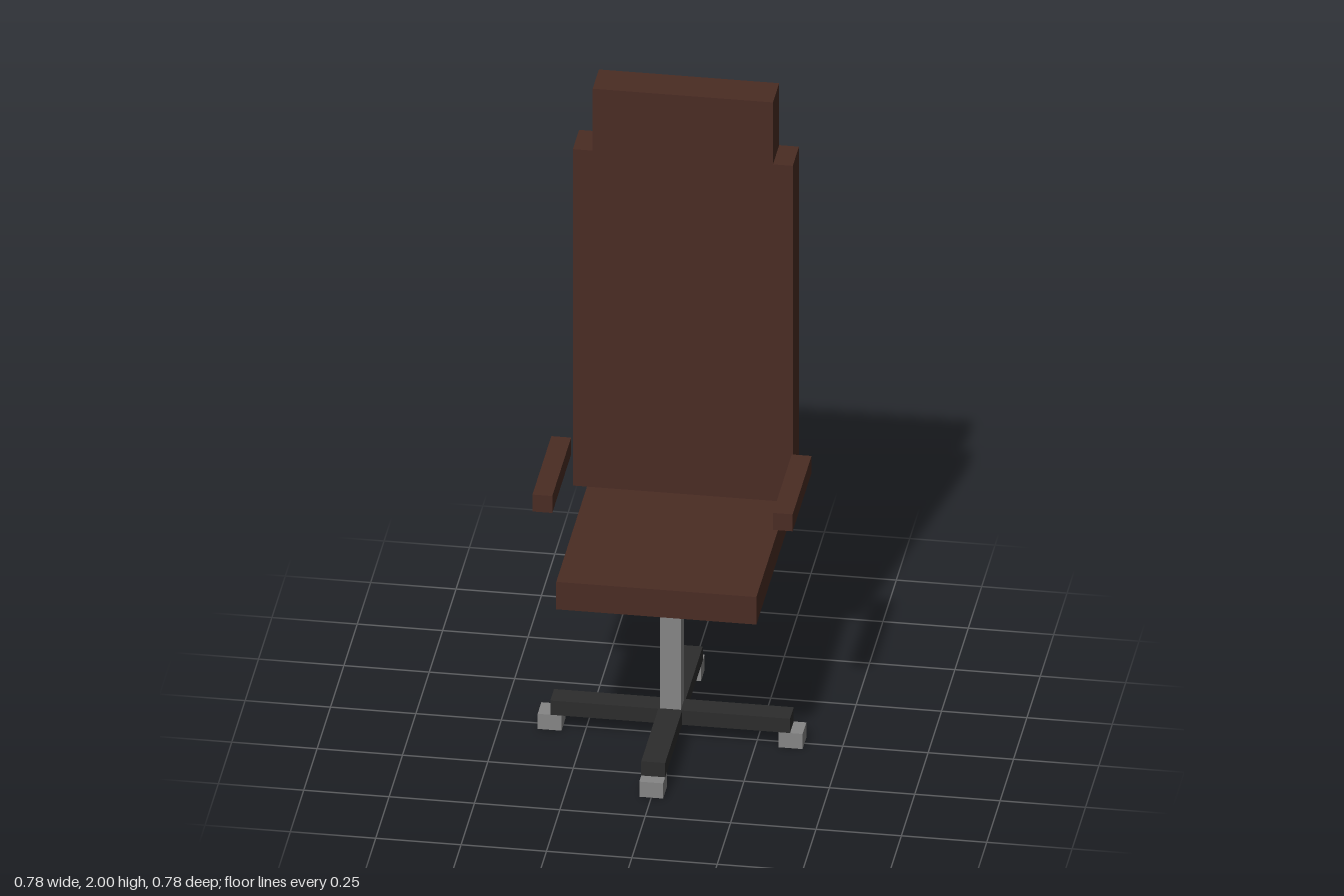
import * as THREE from 'three';

export function createModel() {
  const chair = new THREE.Group();
  chair.name = 'officeChair';

  const material = (name, color) => {
    const m = new THREE.MeshStandardMaterial({ color });
    m.name = name;
    return m;
  };
  const leather = material('brownLeather', 0x4a2c23);
  const black = material('blackPlastic', 0x2c2c2c);
  const metal = material('greyMetal', 0x858585);

  // Box given by its extents along x, y and z
  const box = (name, mat, [x0, x1], [y0, y1], [z0, z1], parent = chair) => {
    const mesh = new THREE.Mesh(new THREE.BoxGeometry(x1 - x0, y1 - y0, z1 - z0), mat);
    mesh.position.set((x0 + x1) / 2, (y0 + y1) / 2, (z0 + z1) / 2);
    mesh.name = name;
    parent.add(mesh);
    return mesh;
  };

  // Seat, backrest and headrest
  box('seat', leather, [-0.293, 0.293], [0.546, 0.637], [-0.293, 0.293]);
  box('backrest', leather, [-0.322, 0.322], [0.681, 1.795], [-0.318, -0.202]);
  box('headrest', leather, [-0.264, 0.264], [1.795, 2], [-0.318, -0.202]);

  // Armrests, mirrored
  for (const [name, side] of [['leftArmrest', 1], ['rightArmrest', -1]]) {
    const arm = box(name, leather, [-0.029, 0.029], [0.798, 0.854], [-0.176, 0.176]);
    arm.position.x = side * 0.352;
  }

  // Central post
  box('post', metal, [-0.031, 0.031], [0.097, 0.546], [-0.031, 0.031]);

  // Cross base: a hub with four legs, each ending in a caster block
  box('baseHub', black, [-0.035, 0.035], [0.05, 0.097], [-0.035, 0.035]);
  for (let i = 0; i < 4; i++) {
    const leg = new THREE.Group();
    leg.name = `baseLeg${i + 1}`;
    box('legBar', black, [0.035, 0.351], [0.05, 0.097], [-0.035, 0.035], leg);
    box('caster', metal, [0.318, 0.388], [0, 0.05], [-0.035, 0.035], leg);
    leg.rotation.y = (i * Math.PI) / 2;
    chair.add(leg);
  }

  return chair;
}
